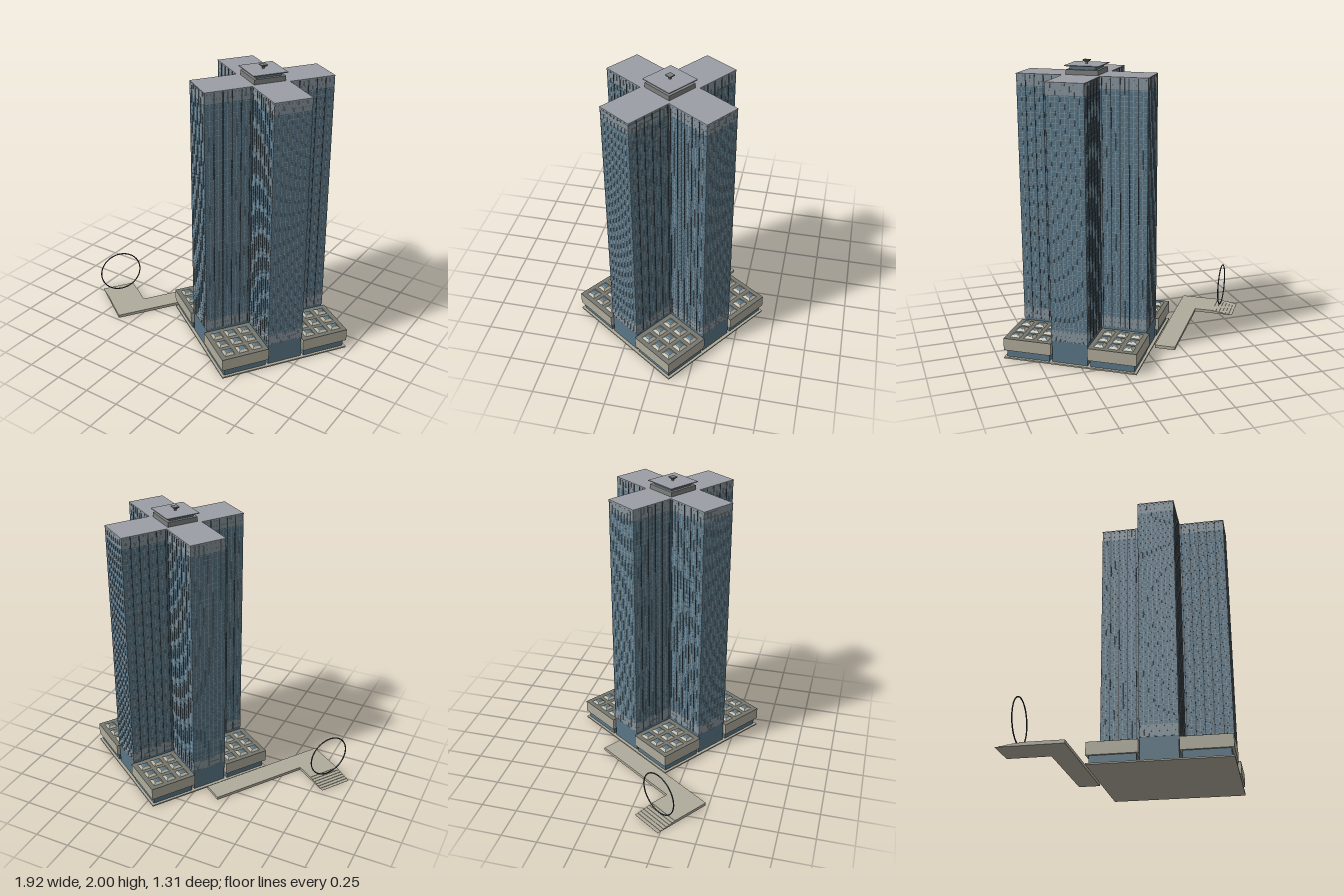
import * as THREE from 'three';
import { mergeGeometries } from 'three/addons/utils/BufferGeometryUtils.js';

const mat = (color) => new THREE.MeshStandardMaterial({ color, flatShading: true });
const M = {
  glass: mat(0x5a7686), band: mat(0x85929a), line: mat(0x8a9ca6), dark: mat(0x3a444a),
  stone: mat(0xb0ac9c), roof: mat(0x9b9ea4), deck: mat(0x75776f), grey: mat(0x7d7f7f),
};

// Box geometry given by its limits on each axis
function block(x0, x1, y0, y1, z0, z1) {
  return new THREE.BoxGeometry(x1 - x0, y1 - y0, z1 - z0)
    .translate((x0 + x1) / 2, (y0 + y1) / 2, (z0 + z1) / 2);
}
const square = (s, y0, y1) => block(-s, s, y0, y1, -s, s);

// Square frustum with half-widths at bottom and top
function frustum(bottom, top, y0, y1) {
  return new THREE.CylinderGeometry(top * Math.SQRT2, bottom * Math.SQRT2, y1 - y0, 4)
    .rotateY(Math.PI / 4).translate(0, (y0 + y1) / 2, 0);
}

// Upright prism with a plus-shaped plan: arm length l, half-width w
function cross(l, w, y0, y1) {
  const pts = [];
  for (let i = 0; i < 4; i++) {
    const c = [1, 0, -1, 0][i], s = [0, 1, 0, -1][i];
    for (const [x, y] of [[l, -w], [l, w], [w, w]]) {
      pts.push(new THREE.Vector2(c * x - s * y, s * x + c * y));
    }
  }
  return new THREE.ExtrudeGeometry(new THREE.Shape(pts), { depth: y1 - y0, bevelEnabled: false })
    .rotateX(-Math.PI / 2).translate(0, y0, 0);
}

export function createModel() {
  const model = new THREE.Group();
  const site = new THREE.Group();
  site.name = 'site';
  site.position.x = 0.307;
  site.rotation.y = -0.601;
  model.add(site);

  const add = (name, geos, material, parent = site) => {
    const list = Array.isArray(geos) ? geos : [geos];
    const mesh = new THREE.Mesh(list.length > 1 ? mergeGeometries(list) : list[0], material);
    mesh.name = name;
    parent.add(mesh);
    return mesh;
  };
  const turned = (geos) => [0, 1, 2, 3].flatMap((i) =>
    geos.map((g) => g.clone().rotateY(i * Math.PI / 2)));

  const L = 0.45, W = 0.127, BASE = 0.165, TOP = 1.91;

  add('basePlate', square(0.47, 0, 0.01), M.stone);

  // Tower shaft: lobby, pale plant floors, glazed floors and roof
  add('lobby', cross(L - 0.002, W - 0.002, 0.01, BASE), M.glass);
  add('lowerPlantBand', cross(L, W, BASE, 0.245), M.band);
  add('towerGlass', cross(L, W, 0.245, 1.83), M.glass);
  add('upperPlantBand', cross(L, W, 1.83, TOP - 0.006), M.band);
  add('towerRoof', cross(L + 0.003, W + 0.003, TOP - 0.006, TOP), M.roof);

  // Floor lines
  const floors = [];
  for (let y = BASE; y < TOP - 0.02; y += 0.0345) {
    floors.push(cross(L + 0.001, W + 0.001, y, y + 0.003));
  }
  add('floorLines', floors, M.line);

  // Mullions on the arm ends, plus dark fins and mullions along the arm sides
  const mullions = [], fins = [];
  for (let i = 0; i <= 8; i++) {
    const z = -W + (i / 8) * 2 * W;
    mullions.push(block(L, L + 0.002, BASE, TOP - 0.006, z - 0.0015, z + 0.0015));
  }
  for (let i = 0; i < 10; i++) {
    const x = W + 0.012 + i * (L - W - 0.012) / 10;
    for (const s of [-1, 1]) {
      const isFin = i % 2 === 0, h = isFin ? 0.003 : 0.0015;
      const z0 = s * W, z1 = s * (W + (isFin ? 0.003 : 0.002));
      (isFin ? fins : mullions).push(
        block(x - h, x + h, BASE, TOP - 0.006, Math.min(z0, z1), Math.max(z0, z1)));
    }
  }
  add('mullions', turned(mullions), M.line);
  add('sideFins', turned(fins), M.dark);

  // Rooftop pavilion and mast
  add('pavilionBase', square(0.11, TOP, 1.943), M.grey);
  add('pavilionGlass', square(0.09, 1.943, 1.965), M.glass);
  add('pavilionRoof', square(0.119, 1.965, 1.971), M.roof);
  add('mast', square(0.006, 1.971, 1.986), M.grey);
  add('mastHead', [frustum(0.008, 0.022, 1.982, 1.994), square(0.022, 1.994, 2)], M.grey);

  // Four podium blocks with skylights, one in each corner of the cross
  const frames = [], panes = [];
  for (const x of [0.2, 0.3, 0.4]) {
    for (const z of [0.2, 0.3, 0.4]) {
      frames.push(frustum(0.037, 0.021, 0.149, 0.163).translate(x, 0, z));
      panes.push(frustum(0.018, 0.012, 0.163, 0.166).translate(x, 0, z));
    }
  }
  for (let i = 0; i < 4; i++) {
    const podium = new THREE.Group();
    podium.name = 'podium';
    podium.rotation.y = i * Math.PI / 2;
    site.add(podium);
    add('podiumGlass', block(0.145, 0.452, 0.01, 0.062, 0.145, 0.452), M.glass, podium);
    add('podiumWall', block(0.13, 0.47, 0.062, 0.146, 0.13, 0.47), M.stone, podium);
    add('podiumRoof', block(0.13, 0.47, 0.146, 0.149, 0.13, 0.47), M.deck, podium);
    add('skylightFrames', frames, M.stone, podium);
    add('skylightPanes', panes, M.glass, podium);
  }

  // Angled walkway, with steps at its outer end
  const H = 0.022, steps = [];
  for (let i = 0; i < 6; i++) {
    const x = -0.915 + i * 0.025;
    steps.push(block(x, x + 0.025, 0, H * (i + 0.5) / 6.5, 0.676, 0.914));
  }
  add('walkway', [
    block(-0.63, -0.485, 0, H, -0.035, 0.914),
    block(-0.765, -0.63, 0, H, 0.676, 0.914),
  ], M.stone);
  add('steps', steps, M.stone);

  // Upright ring sculpture over the steps
  const ring = add('ringSculpture', new THREE.TorusGeometry(0.152, 0.0045, 8, 64), M.dark);
  ring.rotation.y = Math.PI / 2;
  ring.position.set(-0.807, 0.196, 0.795);

  return model;
}
